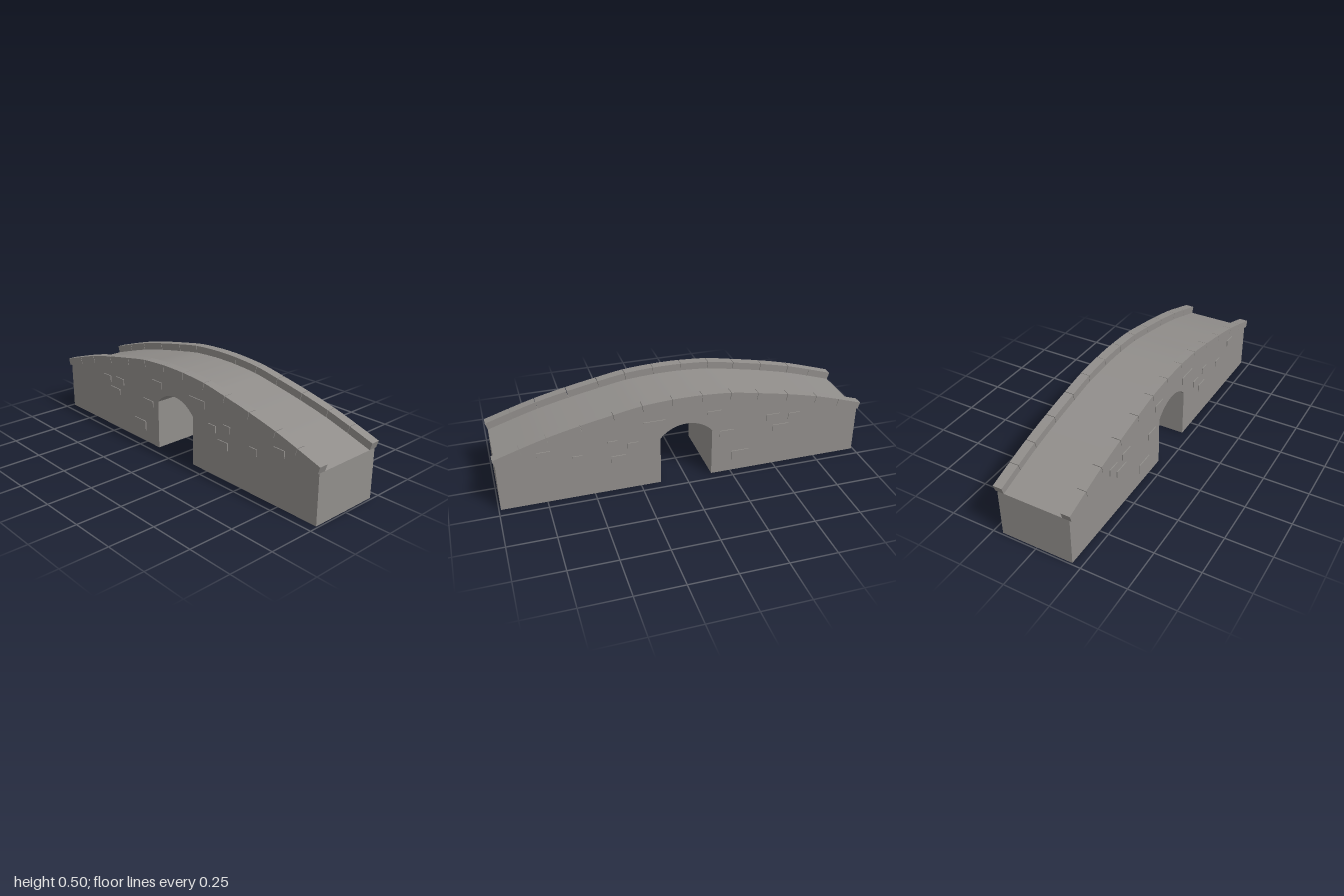
import * as THREE from 'three';
import { toCreasedNormals } from 'three/addons/utils/BufferGeometryUtils.js';

const HALF = 0.99;          // half length of the bridge body
const WALL_Z = 0.2;         // half depth of the body
const COPING_HEIGHT = 0.04;

// Half of the humped deck line, mirrored about x = 0
const half = [[0, 0.462], [0.078, 0.461], [0.233, 0.45], [0.382, 0.424], [0.55, 0.391], [0.72, 0.351], [0.855, 0.311], [HALF, 0.268]];
const deckCurve = new THREE.SplineCurve([
  ...half.slice(1).reverse().map(([x, y]) => new THREE.Vector2(-x, y)),
  ...half.map(([x, y]) => new THREE.Vector2(x, y)),
]);
const SPANS = 2 * (half.length - 1);

// Extrude a side profile along z, centred on the given z
function extrudeProfile(shape, depth, z) {
  const geometry = new THREE.ExtrudeGeometry(shape, { depth, bevelEnabled: false, curveSegments: 20 });
  geometry.translate(0, 0, z - depth / 2);
  return toCreasedNormals(geometry, 0.4);
}

export function createModel() {
  const bridge = new THREE.Group();
  bridge.name = 'stoneBridge';
  const stone = new THREE.MeshStandardMaterial({ color: 0x918e8b });
  stone.name = 'grey stone';

  const add = (name, geometry, parent = bridge) => {
    const mesh = new THREE.Mesh(geometry, stone);
    mesh.name = name;
    parent.add(mesh);
    return mesh;
  };

  // Body: humped deck above, arched passage below
  const w = 0.142, spring = 0.273, crown = 0.34, rise = crown - spring;
  const radius = (w * w + rise * rise) / (2 * rise);
  const angle = Math.asin(w / radius);
  const body = new THREE.Shape();
  body.moveTo(-HALF, 0);
  body.lineTo(-w, 0);
  body.lineTo(-w, spring);
  body.absarc(0, crown - radius, radius, Math.PI / 2 + angle, Math.PI / 2 - angle, true);
  body.lineTo(w, 0);
  body.lineTo(HALF, 0);
  for (let i = 56; i >= 0; i--) {
    const p = deckCurve.getPoint(i / 56);
    body.lineTo(p.x, p.y);
  }
  add('bridgeBody', extrudeProfile(body, WALL_Z * 2, 0));

  // Coping stones along both edges, cut square to the deck line.
  // The two short spans beside the crown share one stone.
  const joints = [];
  for (let i = 0; i <= SPANS; i++) if (i !== SPANS / 2) joints.push(i / SPANS);
  for (const side of [1, -1]) {
    const coping = new THREE.Group();
    coping.name = side > 0 ? 'frontCoping' : 'backCoping';
    bridge.add(coping);
    for (let j = 0; j < joints.length - 1; j++) {
      const gap = 0.0006;
      const t0 = joints[j] + (j ? gap : 0);
      const t1 = joints[j + 1] - (j < joints.length - 2 ? gap : 0);
      const lower = [], upper = [];
      for (let k = 0; k <= 4; k++) {
        const t = t0 + (t1 - t0) * k / 4;
        const p = deckCurve.getPoint(t);
        const tan = deckCurve.getTangent(t);
        lower.push(p);
        upper.unshift(new THREE.Vector2(p.x - tan.y * COPING_HEIGHT, p.y + tan.x * COPING_HEIGHT));
      }
      add('copingStone', extrudeProfile(new THREE.Shape([...lower, ...upper]), 0.05, side * 0.187), coping);
    }
  }

  // Raised stones scattered on both walls: centre x, centre y, width, height
  const stones = [
    [-0.61, 0.286, 0.07, 0.038], [-0.488, 0.298, 0.076, 0.036], [-0.535, 0.228, 0.09, 0.036],
    [-0.225, 0.243, 0.08, 0.036], [-0.15, 0.372, 0.08, 0.038], [-0.305, 0.093, 0.1, 0.058],
    [0.174, 0.364, 0.117, 0.042], [0.289, 0.259, 0.058, 0.038], [0.396, 0.286, 0.05, 0.038],
    [0.368, 0.192, 0.075, 0.042], [0.581, 0.232, 0.052, 0.036], [0.749, 0.286, 0.068, 0.038],
  ];
  for (const side of [1, -1]) {
    for (const [x, y, width, height] of stones) {
      add('wallStone', new THREE.BoxGeometry(width, height, 0.01)).position.set(x, y, side * WALL_Z);
    }
  }
  return bridge;
}
